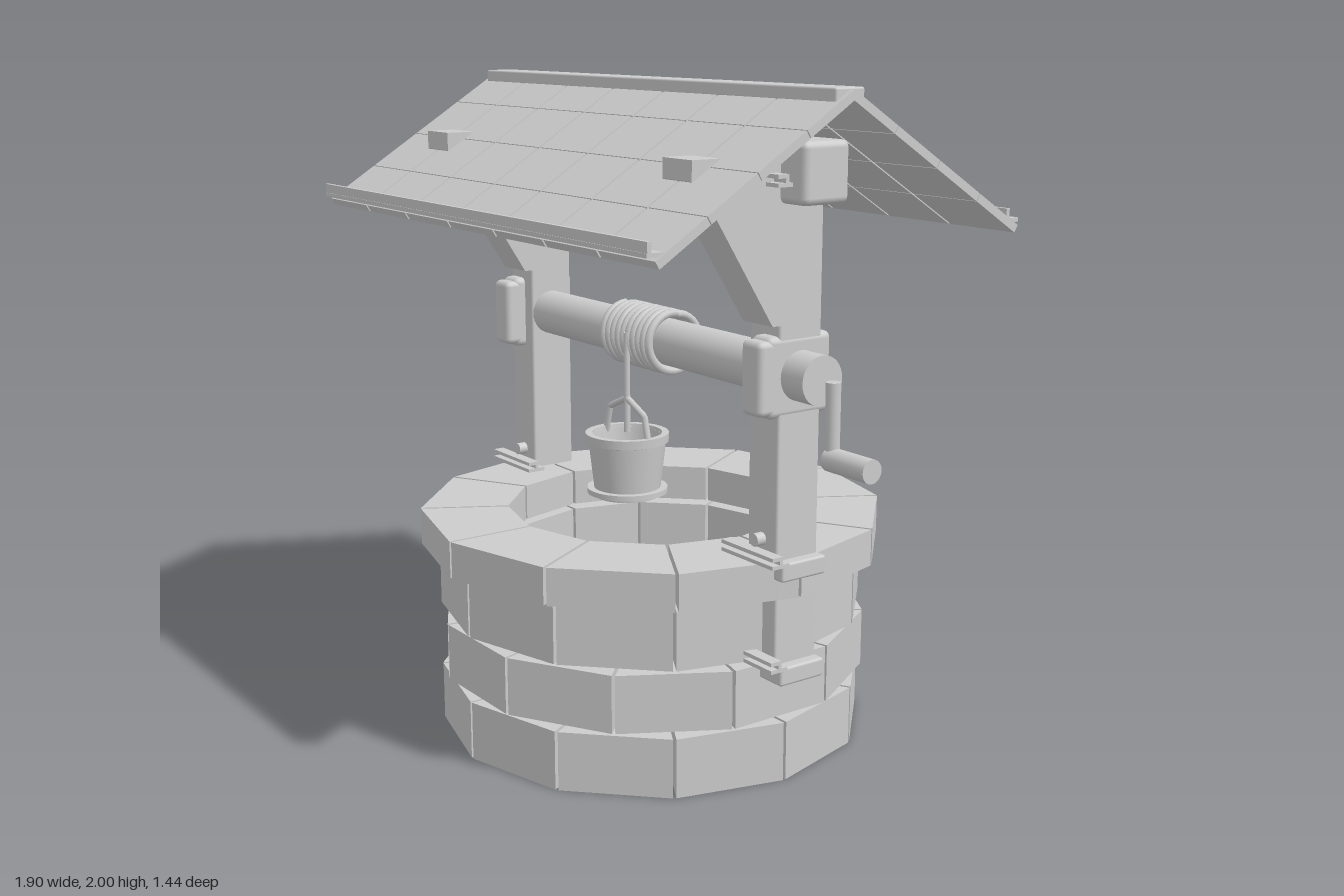
import * as THREE from 'three';
import { RoundedBoxGeometry } from 'three/addons/geometries/RoundedBoxGeometry.js';

const grey = new THREE.MeshStandardMaterial({ color: 0xcccccc });
grey.name = 'plain grey';

const CX = -0.05; // middle of the well shaft

function add(parent, name, geometry, x = 0, y = 0, z = 0) {
  const mesh = new THREE.Mesh(geometry, grey);
  mesh.name = name;
  mesh.position.set(x, y, z);
  parent.add(mesh);
  return mesh;
}

// Box given by its limits on each axis; a radius rounds its edges
function block(parent, name, [x0, x1], [y0, y1], [z0, z1], radius = 0) {
  const size = [x1 - x0, y1 - y0, z1 - z0];
  const geo = radius ? new RoundedBoxGeometry(...size, 2, radius) : new THREE.BoxGeometry(...size);
  return add(parent, name, geo, (x0 + x1) / 2, (y0 + y1) / 2, (z0 + z1) / 2);
}

function rod(parent, name, radius, length, axis, x, y, z, sides = 24) {
  const geo = new THREE.CylinderGeometry(radius, radius, length, sides);
  if (axis === 'x') geo.rotateZ(Math.PI / 2);
  if (axis === 'z') geo.rotateX(Math.PI / 2);
  return add(parent, name, geo, x, y, z);
}

// One ring of twelve wedge-shaped stones
function stoneRing(y0, y1, outer, inner, offset) {
  const ring = new THREE.Group();
  ring.name = 'stoneRing';
  const half = Math.PI / 12;
  const gap = 0.005;
  const shape = new THREE.Shape();
  const corner = (r, s) => [r * Math.cos(half) , s * (r * Math.sin(half) - gap)];
  shape.moveTo(...corner(inner, -1));
  shape.lineTo(...corner(outer, -1));
  shape.lineTo(...corner(outer, 1));
  shape.lineTo(...corner(inner, 1));
  shape.closePath();
  const geo = new THREE.ExtrudeGeometry(shape, { depth: y1 - y0, bevelEnabled: false });
  geo.rotateX(-Math.PI / 2);
  for (let i = 0; i < 12; i++) {
    add(ring, 'stone', geo, CX, y0, 0).rotation.y = (i * 2 + offset) * half;
  }
  return ring;
}

// One slope of the roof, tiled in seven columns and four rows
function roofSlope(turn) {
  const slope = new THREE.Group();
  slope.name = 'roofSlope';
  const tilt = new THREE.Group();
  const cols = 7, rows = 4, w = 1.8 / cols, d = 0.742 / rows;
  const tile = new THREE.BoxGeometry(w - 0.009, 0.024, d - 0.003);
  for (let c = 0; c < cols; c++) {
    for (let r = 0; r < rows; r++) {
      add(tilt, 'roofTile', tile, (c + 0.5) * w - 0.9, -0.012, (r + 0.5) * d);
    }
  }
  tilt.rotation.x = 0.557;
  tilt.position.y = 1.995;
  slope.add(tilt);
  slope.position.x = CX;
  slope.rotation.y = turn;
  return slope;
}

// Post with its brace, collar, clamps and bolt; side is the outward direction
function postAssembly(side) {
  const g = new THREE.Group();
  g.name = side > 0 ? 'leftPost' : 'rightPost';
  g.position.x = CX + side * 0.638;
  const out = (a, b) => (side > 0 ? [a, b] : [-b, -a]);

  block(g, 'post', [-0.064, 0.064], [0.34, 1.8], [-0.075, 0.075], 0.008);

  // Brace reaching forward through the roof
  const brace = new THREE.Shape();
  [[0.06, 1.82], [0.375, 1.82], [0.375, 1.765], [0.31, 1.715], [0.305, 1.68], [0.1, 1.36], [0.06, 1.36]]
    .forEach(([z, y], i) => (i ? brace.lineTo(-z, y) : brace.moveTo(-z, y)));
  const geo = new THREE.ExtrudeGeometry(brace, { depth: 0.128, bevelEnabled: false });
  geo.translate(0, 0, -0.064);
  geo.rotateY(Math.PI / 2);
  add(g, 'brace', geo);

  // Collar holding the axle
  block(g, 'axleCollar', out(-0.02, 0.066), [1.1, 1.33], [-0.112, 0.112], 0.02);
  block(g, 'collarFace', out(-0.02, 0.066), [1.11, 1.32], [0.05, 0.145], 0.018);

  // Channel-shaped clamps across the front
  for (const y of [0.385, 0.69, 1.74]) {
    const x = [-0.115, 0.115];
    block(g, 'clampBase', x, [y, y + 0.011], [0.07, 0.13]);
    block(g, 'clampWeb', x, [y, y + 0.034], [0.093, 0.104]);
    block(g, 'clampLip', x, [y + 0.023, y + 0.034], [0.093, 0.13]);
  }
  // Blocks on the outer face
  for (const y of [0.33, 0.638]) block(g, 'outerBlock', out(0, 0.098), [y, y + 0.055], [-0.08, 0.08], 0.008);
  rod(g, 'bolt', 0.019, 0.05, 'z', 0, 0.745, 0.08, 16);
  return g;
}

function bucket() {
  const g = new THREE.Group();
  g.name = 'bucket';
  g.position.set(CX, 0, 0.093);
  const v = (x, y) => new THREE.Vector2(x, y);
  const lathe = (name, pts) => {
    // Repeated corners keep the profile edges sharp
    for (let i = 0; i < pts.length - 1; i++) {
      add(g, name, new THREE.LatheGeometry([v(...pts[i]), v(...pts[i + 1])], 28));
    }
  };
  lathe('bucketBody', [[0, 0.73], [0.1, 0.73], [0.122, 0.92], [0.106, 0.92], [0.088, 0.755], [0, 0.755]]);
  lathe('bucketRim', [[0.118, 0.9], [0.128, 0.903], [0.129, 0.93], [0.108, 0.93], [0.104, 0.9]]);
  lathe('bucketHoop', [[0.1, 0.742], [0.125, 0.742], [0.125, 0.758], [0.1, 0.758]]);

  // Bent handle
  const path = new THREE.CurvePath();
  const pts = [[-0.114, 0.91], [-0.093, 0.995], [0, 1.037], [0.093, 0.995], [0.114, 0.91]]
    .map(([x, y]) => new THREE.Vector3(x, y, 0));
  for (let i = 0; i < 4; i++) path.add(new THREE.LineCurve3(pts[i], pts[i + 1]));
  add(g, 'bucketHandle', new THREE.TubeGeometry(path, 40, 0.01, 8));
  rod(g, 'hangingRope', 0.01, 0.31, 'y', 0, 1.085, 0, 10);
  return g;
}

class Helix extends THREE.Curve {
  getPoint(t, target = new THREE.Vector3()) {
    const a = t * Math.PI * 2 * 10;
    return target.set((t - 0.5) * 0.265, 0.088 * Math.cos(a), 0.088 * Math.sin(a));
  }
}

export function createModel() {
  const well = new THREE.Group();
  well.name = 'well';

  // Stone shaft: outer corner radius, inner radius, half-stone shift
  well.add(stoneRing(0, 0.18, 0.665, 0.45, 1));
  well.add(stoneRing(0.195, 0.37, 0.665, 0.45, 0));
  well.add(stoneRing(0.385, 0.56, 0.665, 0.45, 1));
  well.add(stoneRing(0.578, 0.69, 0.72, 0.45, 1));
  rod(well, 'wellFloor', 0.45, 0.02, 'y', CX, 0.11, 0, 24);

  // Frame
  well.add(postAssembly(1), postAssembly(-1));
  block(well, 'topBeam', [-0.85, 0.75], [1.69, 1.86], [-0.08, 0.08], 0.02);

  // Roof
  well.add(roofSlope(0), roofSlope(Math.PI));
  block(well, 'ridgeCap', [-0.93, 0.83], [1.96, 2], [-0.05, 0.05], 0.006);
  for (const [z, y] of [[0.6, 1.612], [-0.635, 1.612]]) {
    block(well, 'eaveTrim', [-0.94, 0.84], [y, y + 0.012], [z, z + 0.05]);
    block(well, 'eaveTrimEdge', [-0.94, 0.84], [y, y + 0.04], [z + 0.036, z + 0.048]);
  }

  // Windlass
  rod(well, 'axle', 0.071, 1.595, 'x', -0.0525, 1.215, 0, 32);
  add(well, 'ropeCoil', new THREE.TubeGeometry(new Helix(), 320, 0.013, 8), -0.055, 1.217, 0);
  rod(well, 'crankArm', 0.021, 0.22, 'y', 0.79, 1.11, 0, 16);
  rod(well, 'crankGrip', 0.034, 0.168, 'x', 0.866, 1.005, 0, 20);
  well.add(bucket());

  return well;
}
